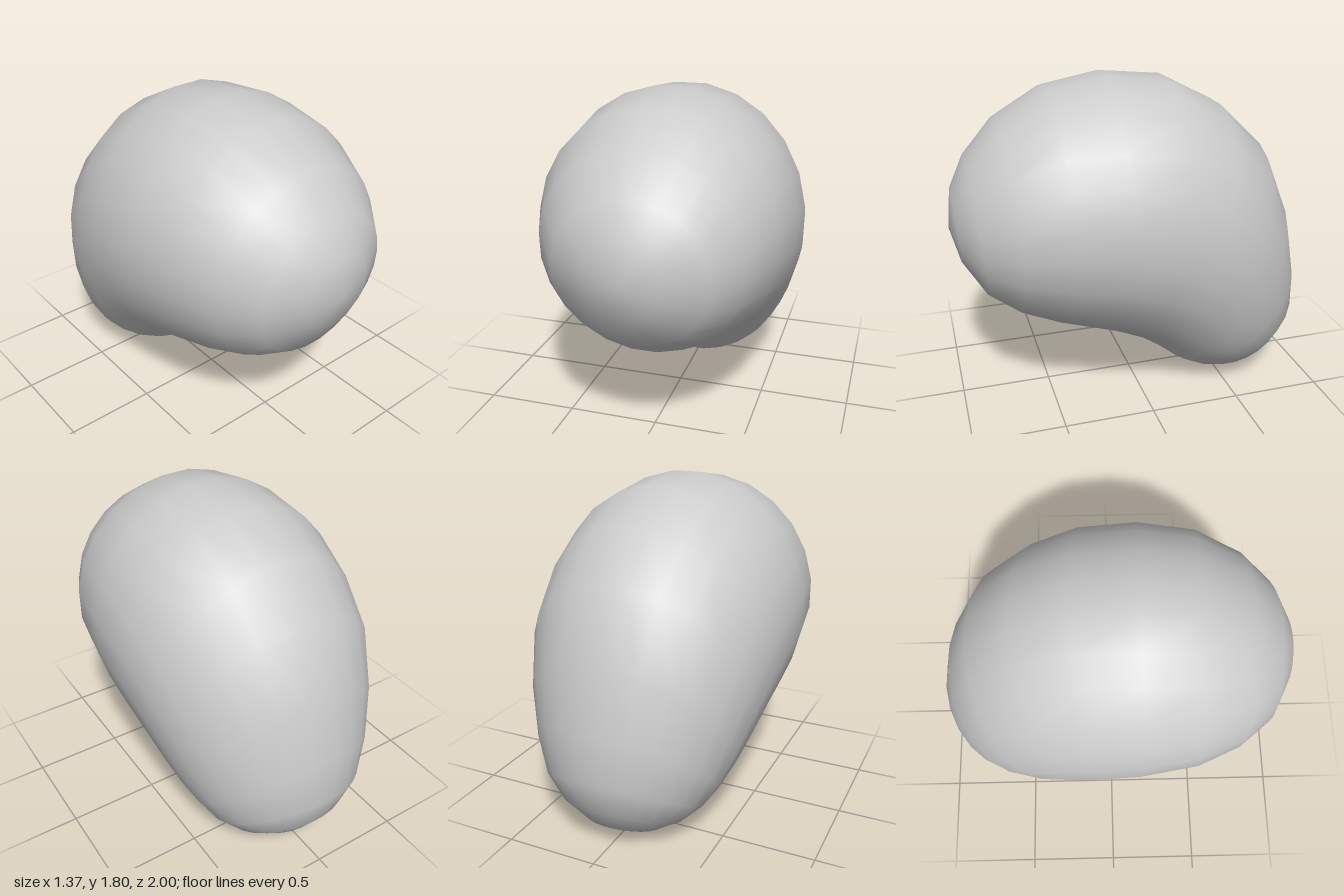
import * as THREE from 'three';

// Cross-sections along the bend, front to back:
// [outer z, outer y, inner z, inner y, half width]
const SECTIONS = [
  [0.975, 1.24, 0.95, 0.84, 0.2],
  [0.89, 1.41, 0.83, 0.65, 0.4],
  [0.72, 1.6, 0.66, 0.53, 0.54],
  [0.45, 1.755, 0.46, 0.45, 0.645],
  [0.15, 1.81, 0.15, 0.35, 0.69],
  [-0.2, 1.775, 0, 0.28, 0.69],
  [-0.5, 1.62, -0.08, 0.22, 0.665],
  [-0.75, 1.38, -0.14, 0.17, 0.63],
  [-0.9, 1.03, -0.2, 0.12, 0.57],
  [-0.975, 0.7, -0.26, 0.08, 0.5],
  [-1.0, 0.45, -0.33, 0.04, 0.42],
  [-0.95, 0.27, -0.41, 0.01, 0.32],
  [-0.85, 0.125, -0.5, 0, 0.2],
];
const FRONT_TIP = [0, 1.03, 1];
const BACK_TIP = [0, 0.035, -0.69];
const SIDES = 24;

function beanGeometry() {
  const positions = [...FRONT_TIP];
  const index = [];

  // Elliptical rings, each tilted to span from the inner to the outer curve
  for (const [oz, oy, iz, iy, w] of SECTIONS) {
    for (let j = 0; j < SIDES; j++) {
      const a = ((j + 0.5) / SIDES) * Math.PI * 2;
      const s = Math.sin(a) / 2;
      positions.push(
        w * Math.cos(a),
        (oy + iy) / 2 + s * (oy - iy),
        (oz + iz) / 2 + s * (oz - iz),
      );
    }
  }
  positions.push(...BACK_TIP);

  const at = (i, j) => 1 + i * SIDES + (j % SIDES);
  const last = SECTIONS.length - 1;
  const end = 1 + SECTIONS.length * SIDES;
  for (let j = 0; j < SIDES; j++) {
    index.push(0, at(0, j), at(0, j + 1)); // front cap
    for (let i = 0; i < last; i++) {
      const a = at(i, j), b = at(i + 1, j), c = at(i + 1, j + 1), d = at(i, j + 1);
      index.push(a, b, c, a, c, d);
    }
    index.push(end, at(last, j + 1), at(last, j)); // back cap
  }

  const geometry = new THREE.BufferGeometry();
  geometry.setAttribute('position', new THREE.Float32BufferAttribute(positions, 3));
  geometry.setIndex(index);
  geometry.computeVertexNormals();
  return geometry;
}

export function createModel() {
  const group = new THREE.Group();
  group.name = 'bean';
  const body = new THREE.Mesh(
    beanGeometry(),
    new THREE.MeshStandardMaterial({ color: 0xcccccc }),
  );
  body.name = 'beanBody';
  group.add(body);
  return group;
}
